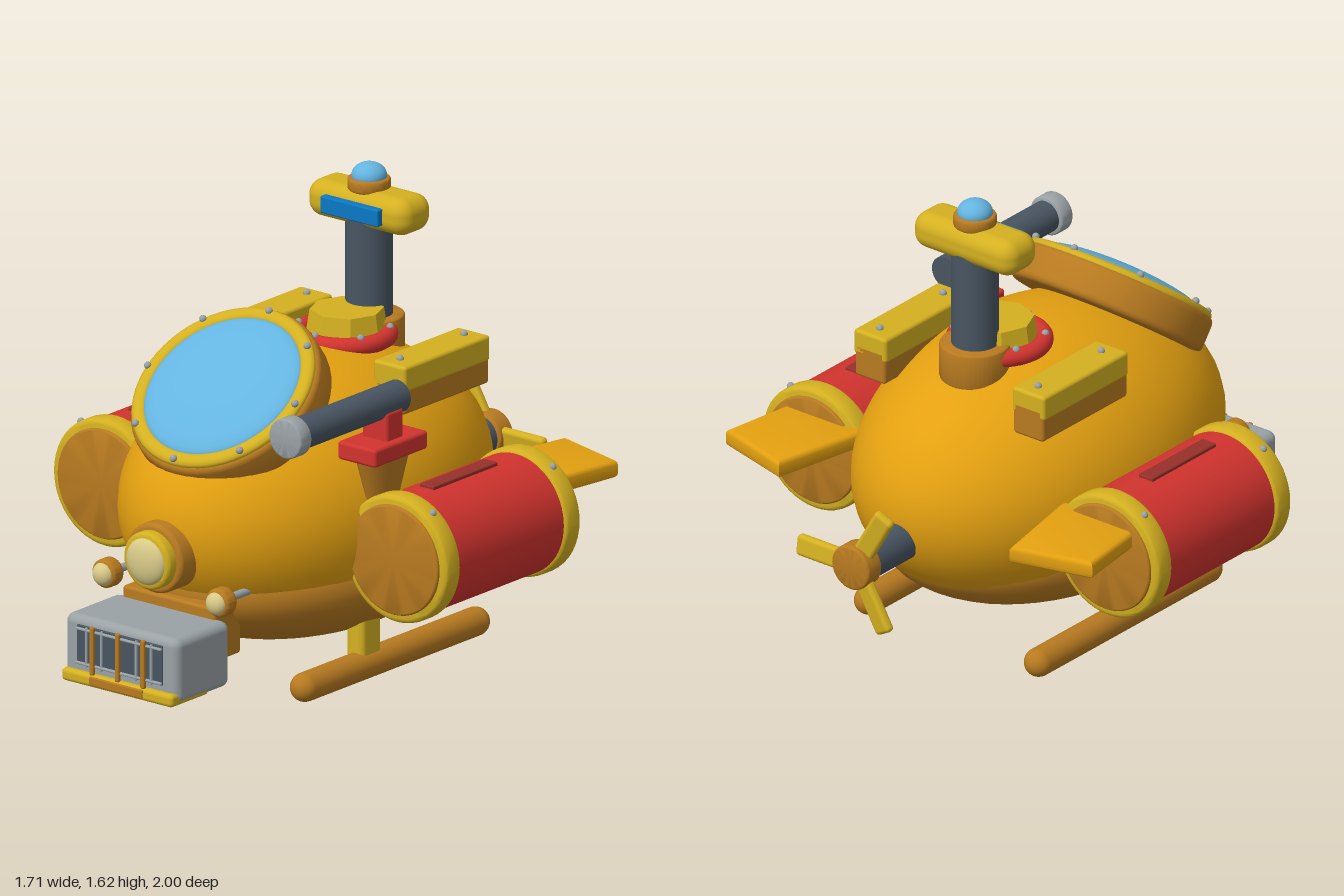
import * as THREE from 'three';
import { toCreasedNormals } from 'three/addons/utils/BufferGeometryUtils.js';
import { RoundedBoxGeometry } from 'three/addons/geometries/RoundedBoxGeometry.js';

const mat = (name, color) => {
  const m = new THREE.MeshStandardMaterial({ color });
  m.name = name;
  return m;
};

export function createModel() {
  const gold = mat('hull gold', 0xe3a010), brown = mat('bronze', 0xb87a20), yellow = mat('brass yellow', 0xd4b020);
  const red = mat('red', 0xd2332e), darkRed = mat('dark red', 0x96302a), slate = mat('slate', 0x485562);
  const grey = mat('grey', 0x9aa2a6), glass = mat('glass blue', 0x64b4e0), blue = mat('visor blue', 0x0a78c4);
  const cream = mat('lamp cream', 0xd8ca88);

  const model = new THREE.Group();
  const add = (name, geo, m, x = 0, y = 0, z = 0, parent = model) => {
    const mesh = new THREE.Mesh(geo, m);
    mesh.name = name;
    mesh.position.set(x, y, z);
    parent.add(mesh);
    return mesh;
  };
  const group = (name, x = 0, y = 0, z = 0, parent = model) => {
    const g = new THREE.Group();
    g.name = name;
    g.position.set(x, y, z);
    parent.add(g);
    return g;
  };
  const box = (w, h, d, r = 0.012) => new RoundedBoxGeometry(w, h, d, 3, r);
  const ball = (rx, ry = rx, rz = rx) => new THREE.SphereGeometry(1, 48, 32).scale(rx, ry, rz);
  const dome = (r, h) => new THREE.SphereGeometry(1, 40, 12, 0, Math.PI * 2, 0, Math.PI / 2).scale(r, h, r);
  // Upright disc or drum with rounded rims, centred on its middle
  const drum = (r, h, b = 0.01) => {
    const pts = [new THREE.Vector2(0, -h / 2)];
    for (const s of [-1, 1]) {
      for (let i = 0; i <= 4; i++) {
        const a = (s < 0 ? i - 4 : i) * Math.PI / 8;
        pts.push(new THREE.Vector2(r - b + b * Math.cos(a), s * (h / 2 - b) + b * Math.sin(a)));
      }
    }
    pts.push(new THREE.Vector2(0, h / 2));
    return toCreasedNormals(new THREE.LatheGeometry(pts, 48), 0.6);
  };
  const alongZ = (geo) => geo.rotateX(Math.PI / 2);
  const rivet = (x, y, z, parent = model) => add('rivet', new THREE.SphereGeometry(0.013, 10, 8), grey, x, y, z, parent);

  // Hull and belly
  add('hull', ball(0.525, 0.48, 0.755), gold, 0, 0.58, 0);
  add('belly', ball(0.49, 0.26, 0.66), brown, 0, 0.36, 0.03);

  // Tilted canopy
  const canopy = group('canopy', 0, 1.02, 0.43);
  canopy.rotation.x = 0.66;
  add('canopyCollar', drum(0.345, 0.13, 0.025), brown, 0, -0.065, 0, canopy);
  add('canopyRim', new THREE.TorusGeometry(0.305, 0.028, 12, 64).rotateX(Math.PI / 2).scale(1, 0.7, 1), yellow, 0, 0, 0, canopy);
  add('canopyGlass', dome(0.288, 0.05), glass, 0, 0.004, 0, canopy);
  for (let i = 0; i < 8; i++) {
    const a = i * Math.PI / 4;
    rivet(0.318 * Math.sin(a), 0.02, 0.318 * Math.cos(a), canopy);
  }

  // Nose porthole
  add('noseFlange', alongZ(drum(0.122, 0.14, 0.015)), brown, 0, 0.515, 0.73);
  add('noseRing', alongZ(drum(0.1, 0.06, 0.015)), yellow, 0, 0.515, 0.81);
  add('noseLens', alongZ(dome(0.082, 0.035)), cream, 0, 0.515, 0.835);

  for (const s of [-1, 1]) {
    // Small headlights
    add('headlightStem', alongZ(new THREE.CylinderGeometry(0.014, 0.014, 0.16, 12)), grey, s * 0.24, 0.4, 0.64);
    add('headlightHousing', alongZ(drum(0.05, 0.06, 0.015)), brown, s * 0.245, 0.4, 0.74);
    add('headlightLens', alongZ(dome(0.04, 0.03)), cream, s * 0.245, 0.4, 0.765);

    // Side tanks with end bands, slot and fin
    const tank = group(s > 0 ? 'leftTank' : 'rightTank', s * 0.63, 0.515, 0);
    add('tankShell', alongZ(new THREE.CylinderGeometry(0.21, 0.21, 0.62, 64, 1)), red, 0, 0, -0.06, tank);
    add('tankCore', alongZ(drum(0.192, 0.735, 0.008)), brown, 0, 0, -0.06, tank);
    for (const z of [-0.375, 0.255]) {
      add('tankBand', alongZ(drum(0.223, 0.08, 0.018)), yellow, 0, 0, z, tank);
      rivet(s * 0.13, 0.181, z, tank);
    }
    add('tankSlot', box(0.06, 0.03, 0.34, 0.005), darkRed, 0, 0.205, -0.04, tank);

    // Rear fins
    const fin = new THREE.Shape();
    [[0.44, 0.4], [0.51, 0.74], [0.765, 0.67], [0.725, 0.4]].forEach(([x, z], i) =>
      i ? fin.lineTo(s * x, z) : fin.moveTo(s * x, z));
    const finGeo = new THREE.ExtrudeGeometry(fin, { depth: 0.03, bevelSize: 0.02, bevelThickness: 0.018, bevelSegments: 4 });
    add('fin', toCreasedNormals(finGeo.rotateX(-Math.PI / 2), 0.6), gold, 0, 0.6, 0);

    // Skids and struts
    add('skid', alongZ(new THREE.CapsuleGeometry(0.05, 0.895, 10, 24)), brown, s * 0.365, 0.05, 0);
    add('strut', box(0.075, 0.2, 0.105, 0.02), yellow, s * 0.355, 0.17, 0.125);

    // Shoulder boxes
    add('shoulderBase', box(0.13, 0.12, 0.45), brown, s * 0.34, 0.95, -0.25);
    add('shoulderBox', box(0.14, 0.09, 0.45), yellow, s * 0.34, 1.015, -0.25);
    for (const z of [-0.42, -0.085]) rivet(s * 0.34, 1.063, z);
  }

  // Front collection basket with grille
  add('basketMount', box(0.4, 0.19, 0.14), brown, 0, 0.265, 0.65);
  const basket = group('basket', 0, 0, 0);
  add('basketBody', box(0.49, 0.23, 0.285, 0.03), grey, 0, 0.205, 0.83, basket);
  add('basketOpening', box(0.37, 0.14, 0.012, 0.004), slate, 0, 0.222, 0.972, basket);
  for (const x of [-0.11, 0, 0.11]) add('grilleBar', box(0.018, 0.17, 0.016, 0.006), brown, x, 0.215, 0.987, basket);
  for (const x of [-0.14, -0.075, 0.075, 0.14]) add('grilleRod', box(0.009, 0.14, 0.012, 0.004), grey, x, 0.22, 0.98, basket);
  for (const y of [0.16, 0.28]) add('grilleRail', box(0.37, 0.009, 0.012, 0.004), grey, 0, y, 0.981, basket);
  add('basketLip', box(0.48, 0.045, 0.2, 0.015), yellow, 0, 0.11, 0.895, basket);
  add('basketPlate', box(0.23, 0.03, 0.01, 0.004), brown, 0, 0.112, 0.995, basket);

  // Tail shaft and propeller
  add('tailShaft', alongZ(new THREE.CylinderGeometry(0.07, 0.07, 0.28, 32)), slate, 0, 0.5, -0.8);
  const prop = group('propeller', 0, 0.5, -0.962);
  add('propellerHub', alongZ(drum(0.08, 0.075, 0.01)), brown, 0, 0, 0, prop);
  for (let i = 0; i < 3; i++) {
    const arm = group('propellerArm', 0, 0, 0, prop);
    arm.rotation.z = i * Math.PI * 2 / 3;
    add('propellerBlade', box(0.2, 0.075, 0.035, 0.015), yellow, 0.15, 0, 0, arm).rotation.x = 0.15;
  }

  // Periscope tower
  const tower = group('periscope', 0, 0, -0.335);
  add('periscopeBase', drum(0.12, 0.13), brown, 0, 1.025, 0, tower);
  add('periscopeColumn', new THREE.CylinderGeometry(0.08, 0.08, 0.44, 40), slate, 0, 1.22, 0, tower);
  add('periscopeHead', new RoundedBoxGeometry(0.435, 0.13, 0.17, 6, 0.055), yellow, 0, 1.47, 0, tower);
  add('periscopeVisor', box(0.25, 0.06, 0.04, 0.006), blue, 0, 1.47, 0.088, tower);
  add('beaconBase', drum(0.073, 0.045), brown, 0, 1.545, 0, tower);
  add('beacon', ball(0.06, 0.045, 0.06), glass, 0, 1.573, 0, tower);

  // Roof hatch
  const hatch = group('hatch', 0, 1.05, -0.205);
  add('hatchRing', new THREE.TorusGeometry(0.15, 0.031, 16, 56).rotateX(Math.PI / 2), red, 0, 0, 0, hatch);
  const lid = new THREE.CylinderGeometry(0.125, 0.138, 0.085, 8);
  add('hatchLid', toCreasedNormals(lid, 0.3), yellow, 0, 0.043, -0.012, hatch);
  for (let i = 0; i < 6; i++) {
    const a = i * Math.PI / 3;
    rivet(0.155 * Math.sin(a), 0.03, 0.155 * Math.cos(a), hatch);
  }

  // Side launcher on the left
  const launcher = group('launcher', 0.49, 0, 0.19);
  const bracket = toCreasedNormals(new THREE.CylinderGeometry(0.12, 0.07, 0.16, 32), 0.6).scale(0.55, 1, 1);
  add('launcherBracket', bracket, brown, 0, 0.755, 0, launcher);
  add('launcherBase', box(0.165, 0.065, 0.28), red, 0, 0.863, 0, launcher);
  add('launcherPost', box(0.11, 0.13, 0.09), red, 0, 0.93, 0, launcher);
  add('launcherTube', alongZ(new THREE.CylinderGeometry(0.056, 0.056, 0.55, 32)), slate, 0, 1.015, 0.195, launcher);
  add('launcherMuzzle', alongZ(drum(0.07, 0.06, 0.008)), grey, 0, 1.015, 0.485, launcher);

  return model;
}
